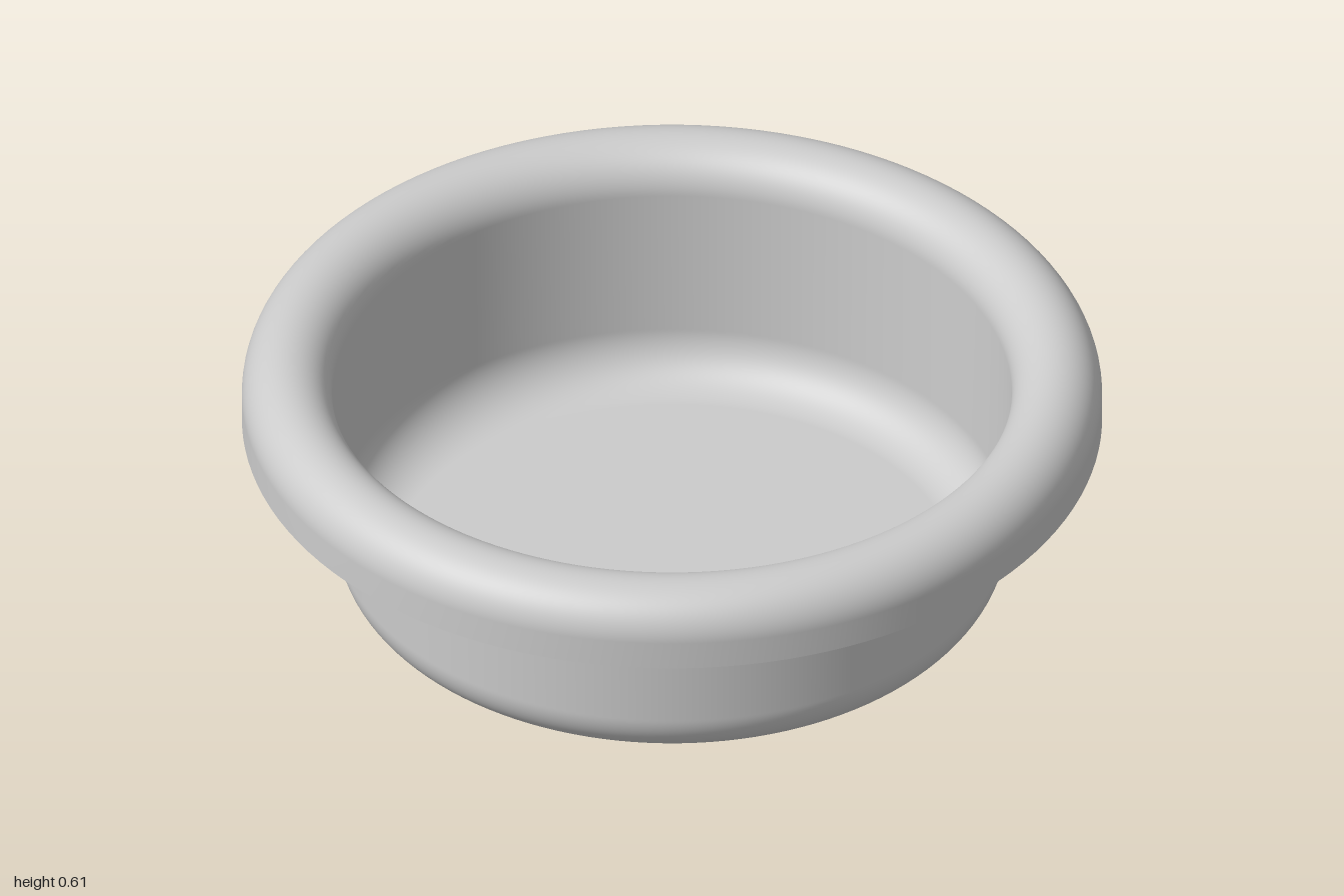
import * as THREE from 'three';

export function createModel() {
  const group = new THREE.Group();
  const material = new THREE.MeshStandardMaterial({ color: 0xcccccc, side: THREE.DoubleSide });

  // Thin-walled profile, from the centre of the floor out to the lip
  const floorFillet = 0.125, rimRadius = 0.105, rimCentre = 0.895, height = 0.605;
  const profile = new THREE.Path();
  profile.moveTo(0, 0);
  profile.lineTo(0.658, 0);
  profile.absarc(0.658, floorFillet, floorFillet, -Math.PI / 2, 0, false);
  profile.lineTo(rimCentre - rimRadius, height - rimRadius);
  // Rolled rim, ending in a short straight skirt
  profile.absarc(rimCentre, height - rimRadius, rimRadius, Math.PI, 0, true);
  profile.lineTo(1, 0.43);

  const bowl = new THREE.Mesh(new THREE.LatheGeometry(profile.getPoints(16), 128), material);
  bowl.name = 'bowl';
  group.add(bowl);
  return group;
}
